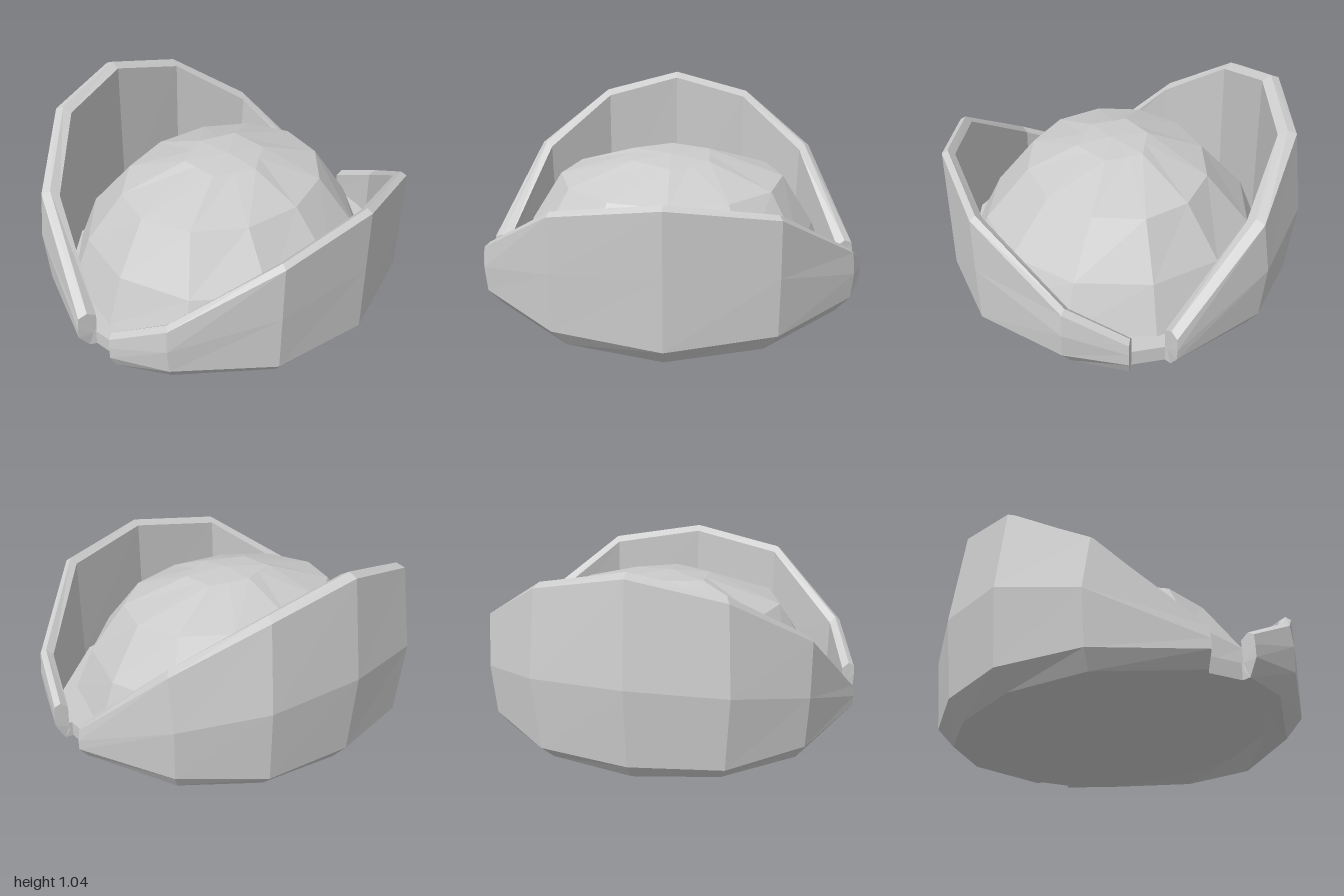
import * as THREE from 'three';

const material = new THREE.MeshStandardMaterial({ color: 0xcccccc, flatShading: true });
const FLOOR = 0.14;

// Collects triangles, dropping collapsed ones
function meshFrom(name, build) {
  const data = [];
  const tri = (a, b, c) => {
    if (a.distanceTo(b) < 1e-5 || b.distanceTo(c) < 1e-5 || a.distanceTo(c) < 1e-5) return;
    for (const p of [a, b, c]) data.push(p.x, p.y, p.z);
  };
  build(tri);
  const geometry = new THREE.BufferGeometry();
  geometry.setAttribute('position', new THREE.Float32BufferAttribute(data, 3));
  geometry.computeVertexNormals();
  const mesh = new THREE.Mesh(geometry, material);
  mesh.name = name;
  return mesh;
}

// Skins a grid of points: rows go up, columns run counter-clockwise seen from above
function skin(rows, tri) {
  for (let i = 0; i < rows.length - 1; i++) {
    for (let j = 0; j < rows[i].length - 1; j++) {
      const a = rows[i][j], b = rows[i][j + 1], c = rows[i + 1][j + 1], d = rows[i + 1][j];
      tri(a, b, c);
      tri(a, c, d);
    }
  }
}

// Moves a point in plan towards a pivot on the z axis and sets its height
function inset(p, amount, y, pivot) {
  const s = 1 - amount / Math.hypot(p.x, p.z - pivot);
  return new THREE.Vector3(p.x * s, y, pivot + (p.z - pivot) * s);
}

// Mirrors columns listed from the centre out to +x; result runs from -x to +x
function mirrored(columns) {
  const half = columns.map(col => col.map(p => new THREE.Vector3(...p)));
  const other = half.slice(1).reverse().map(col => col.map(p => new THREE.Vector3(-p.x, p.y, p.z)));
  return [...other, ...half];
}

// Curved wall: outer column points, bevelled rim, inner face and capped ends
function wall(name, columns, crest, thickness, pivot) {
  const sections = columns.map(([bottom, low, mid, top]) => [
    bottom, low, mid, top,
    inset(top, crest, top.y + 0.018, pivot),
    inset(top, thickness, top.y - 0.01, pivot),
    inset(low, thickness, FLOOR - 0.01, pivot),
    inset(low, thickness, 0.1, pivot),
  ]);
  return meshFrom(name, tri => {
    const rows = sections[0].map((_, k) => sections.map(s => s[k]));
    skin([...rows, rows[0]], tri);
    const first = sections[0], last = sections[sections.length - 1];
    for (let k = 1; k < 7; k++) {
      const a = (6 + k) % 8, b = (7 + k) % 8;
      tri(first[6], first[a], first[b]);
      tri(last[6], last[b], last[a]);
    }
  });
}

export function createModel() {
  const group = new THREE.Group();

  // Outer wall columns from the centre to the side: bottom, low, middle, top
  const front = mirrored([
    [[0, 0, 0.83], [0, 0.095, 0.91], [0, 0.45, 0.91], [0, 0.77, 0.91]],
    [[0.46, 0.03, 0.74], [0.52, 0.13, 0.8], [0.52, 0.42, 0.805], [0.515, 0.695, 0.805]],
    [[0.84, 0.065, 0.41], [0.9, 0.165, 0.46], [0.91, 0.29, 0.46], [0.9, 0.4, 0.455]],
    [[0.96, 0.06, 0.16], [1, 0.14, 0.17], [1, 0.2, 0.17], [0.995, 0.25, 0.17]],
  ]);
  const back = mirrored([
    [[0, 0.02, -0.79], [0, 0.12, -0.87], [0, 0.53, -0.91], [0, 1.02, -0.85]],
    [[0.41, 0.03, -0.72], [0.44, 0.12, -0.8], [0.46, 0.5, -0.83], [0.435, 0.92, -0.78]],
    [[0.74, 0.045, -0.49], [0.78, 0.13, -0.53], [0.79, 0.4, -0.55], [0.785, 0.665, -0.51]],
    [[0.95, 0.06, -0.04], [1, 0.13, -0.055], [1, 0.18, -0.055], [0.99, 0.24, -0.055]],
  ]).reverse();
  group.add(wall('frontWall', front, 0.03, 0.065, -0.25));
  group.add(wall('backWall', back, 0.045, 0.09, 0.35));

  // Base plate following the feet of both walls, hollowed behind the front foot
  const gap = (x, z) => new THREE.Vector3(x, 0.06, z);
  const outline = [
    ...front.map(c => c[0]), gap(0.92, 0.15), gap(0.92, -0.02),
    ...back.map(c => c[0]), gap(-0.92, -0.02), gap(-0.92, 0.15),
  ];
  outline.push(outline[0]);
  group.add(meshFrom('basePlate', tri => {
    const top = outline.map(p => new THREE.Vector3(p.x, FLOOR, p.z));
    const hollow = outline.map(p => inset(p, 0.1, p.z > 0.1 ? 0.062 : p.y + 0.003, 0));
    const centre = y => outline.map(() => new THREE.Vector3(0, y, 0));
    skin([centre(0.062), hollow, outline, top, centre(FLOOR)], tri);
  }));

  // Faceted cushion dome: [front height, back height, half width, front z, back z]
  const rings = [
    [FLOOR, FLOOR, 0.845, 0.84, -0.8],
    [0.36, 0.4, 0.755, 0.72, -0.69],
    [0.625, 0.655, 0.59, 0.49, -0.45],
    [0.74, 0.77, 0.23, 0.23, -0.15],
    [0.77, 0.77, 0, 0.05, 0.05],
  ];
  group.add(meshFrom('cushionDome', tri => {
    skin(rings.map(([yf, yb, w, zf, zb], i) => Array.from({ length: 13 }, (_, j) => {
      // The topmost ring is six-sided, so its odd points lie on straight edges
      const r = i === 3 && j % 2 ? Math.cos(Math.PI / 6) : 1;
      const a = (j % 12) * Math.PI / 6, c = r * Math.cos(a);
      const mid = w ? 0 : 0.05;
      return new THREE.Vector3(w * r * Math.sin(a), (yf + yb) / 2 + c * (yf - yb) / 2,
        mid + (c > 0 ? c * (zf - mid) : -c * (zb - mid)));
    })), tri);
  }));

  return group;
}
